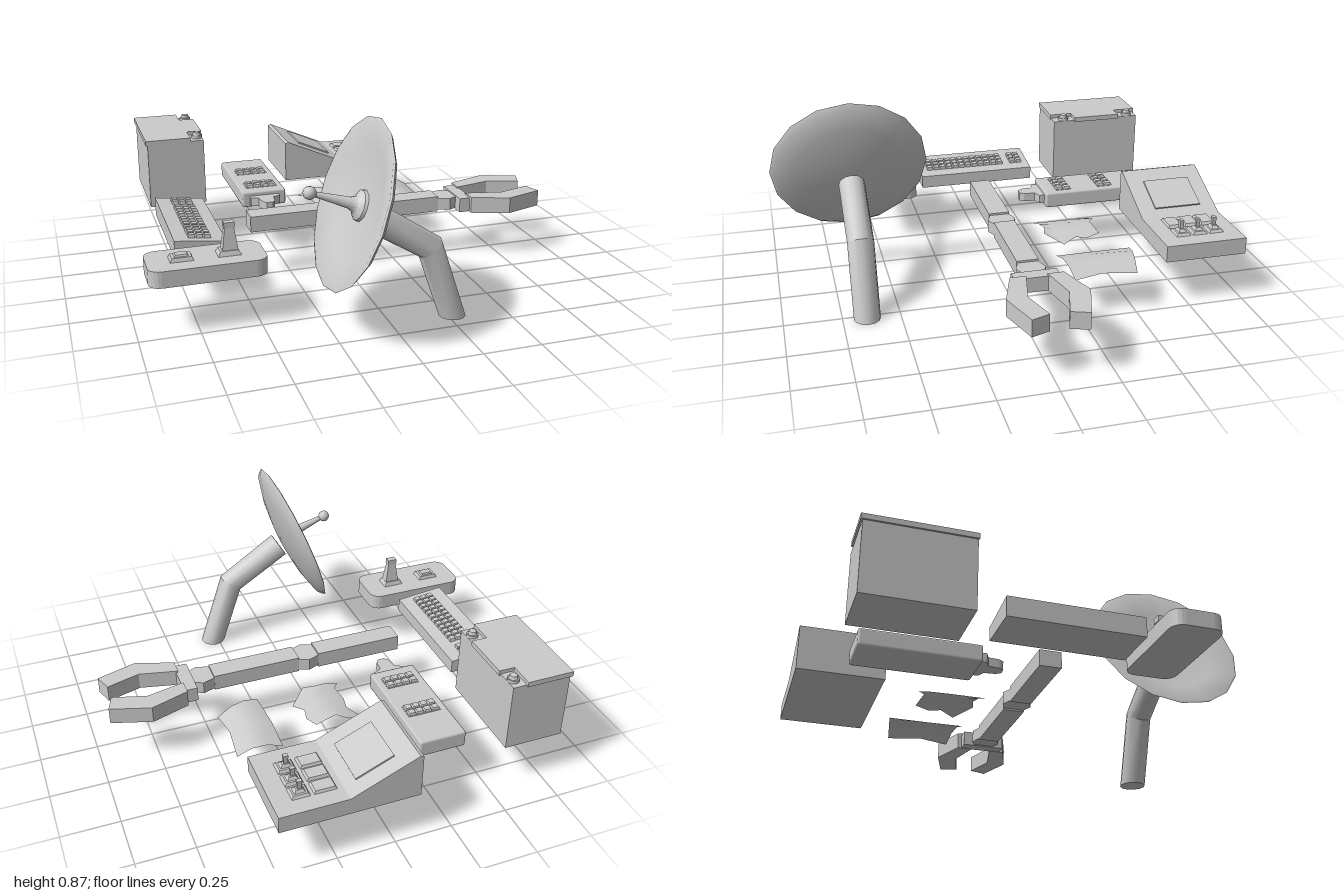
import * as THREE from 'three';
import { toCreasedNormals } from 'three/addons/utils/BufferGeometryUtils.js';
import { RoundedBoxGeometry } from 'three/addons/geometries/RoundedBoxGeometry.js';

const mat = new THREE.MeshStandardMaterial({ color: 0xcccccc });
const thin = new THREE.MeshStandardMaterial({ color: 0xcccccc, side: THREE.DoubleSide });

function add(parent, name, geo, x = 0, y = 0, z = 0, material = mat) {
  const m = new THREE.Mesh(geo, material);
  m.name = name;
  m.position.set(x, y, z);
  parent.add(m);
  return m;
}

function group(parent, name) {
  const g = new THREE.Group();
  g.name = name;
  parent.add(g);
  return g;
}

// Box given by its ranges along each axis
function box(parent, name, x0, x1, y0, y1, z0, z1) {
  return add(parent, name, new THREE.BoxGeometry(x1 - x0, y1 - y0, z1 - z0),
    (x0 + x1) / 2, (y0 + y1) / 2, (z0 + z1) / 2);
}

// Four-sided block tapering from a bottom size to a scaled top, standing on y
function taper(parent, name, w, d, h, top, x, y, z) {
  const geo = new THREE.CylinderGeometry(top * Math.SQRT1_2, Math.SQRT1_2, h, 4).toNonIndexed();
  geo.rotateY(Math.PI / 4).scale(w, 1, d).computeVertexNormals();
  return add(parent, name, geo, x, y + h / 2, z);
}

// Plan outline [x, z] raised from y0 to y1
function slab(parent, name, pts, y0, y1) {
  const shape = new THREE.Shape(pts.map(([x, z]) => new THREE.Vector2(x, -z)));
  const geo = new THREE.ExtrudeGeometry(shape, { depth: y1 - y0, bevelEnabled: false });
  return add(parent, name, geo.rotateX(-Math.PI / 2), 0, y0, 0);
}

// Side outline [x, y] running from z0 to z1
function prism(parent, name, pts, z0, z1) {
  const shape = new THREE.Shape(pts.map(p => new THREE.Vector2(...p)));
  return add(parent, name, new THREE.ExtrudeGeometry(shape, { depth: z1 - z0, bevelEnabled: false }), 0, 0, z0);
}

function keyGrid(parent, cols, rows, pitch, x, y, z, h) {
  for (let i = 0; i < cols; i++) for (let j = 0; j < rows; j++)
    taper(parent, 'key', pitch * 0.9, pitch * 0.9, h, 0.8,
      x + (i - (cols - 1) / 2) * pitch, y, z + (j - (rows - 1) / 2) * pitch);
}

function cabinet(root) {
  const g = group(root, 'cabinet');
  box(g, 'cabinetBody', -0.812, -0.548, 0.22, 0.528, -0.872, -0.433);
  slab(g, 'cabinetLid', [[-0.82, -0.88], [-0.61, -0.88], [-0.61, -0.77], [-0.54, -0.77],
    [-0.54, -0.54], [-0.61, -0.54], [-0.61, -0.43], [-0.82, -0.43]], 0.522, 0.545);
  for (const z of [-0.826, -0.486]) {
    add(g, 'boltWasher', new THREE.CylinderGeometry(0.026, 0.026, 0.014, 8), -0.572, 0.535, z);
    add(g, 'bolt', new THREE.CylinderGeometry(0.016, 0.02, 0.014, 8), -0.572, 0.549, z);
  }
}

function handset(root) {
  const g = group(root, 'handset');
  add(g, 'handsetBody', new RoundedBoxGeometry(0.21, 0.075, 0.51, 1, 0.01), -0.295, 0.2575, -0.545);
  for (const z of [-0.595, -0.385]) {
    box(g, 'keyBed', -0.367, -0.219, 0.29, 0.297, z - 0.037, z + 0.037);
    keyGrid(g, 4, 2, 0.036, -0.293, 0.296, z, 0.012);
  }
  slab(g, 'plug', [[-0.365, -0.295], [-0.365, -0.265], [-0.33, -0.25], [-0.325, -0.2], [-0.31, -0.18],
    [-0.28, -0.18], [-0.265, -0.2], [-0.26, -0.25], [-0.225, -0.265], [-0.225, -0.295]], 0.235, 0.275);
}

function console_(root) {
  const g = group(root, 'console');
  prism(g, 'consoleBody', [[-0.1, 0.22], [0.49, 0.22], [0.49, 0.295], [0.2, 0.295],
    [-0.085, 0.42], [-0.1, 0.415]], -1, -0.63);
  const screen = add(g, 'screen', new THREE.BoxGeometry(0.175, 0.014, 0.22), 0.07, 0.352, -0.82);
  screen.rotation.z = -Math.atan2(0.125, 0.285);
  for (const z of [-0.895, -0.818, -0.741]) {
    taper(g, 'pushButton', 0.095, 0.066, 0.012, 0.85, 0.272, 0.295, z);
    taper(g, 'leverBase', 0.076, 0.066, 0.012, 0.8, 0.372, 0.295, z);
    taper(g, 'leverCollar', 0.046, 0.036, 0.012, 0.6, 0.372, 0.307, z);
    taper(g, 'lever', 0.016, 0.014, 0.045, 1.3, 0.37, 0.312, z);
  }
}

function keypad(root) {
  const g = group(root, 'keypad');
  prism(g, 'keypadBody', [[-0.805, 0.22], [-0.585, 0.22], [-0.585, 0.28], [-0.805, 0.305]], -0.32, 0.245);
  const keys = group(g, 'keys');
  keys.position.set(-0.693, 0.291, 0);
  keys.rotation.z = -Math.atan2(0.025, 0.22);
  keyGrid(keys, 3, 2, 0.0325, 0, 0, -0.257, 0.016);
  keyGrid(keys, 3, 12, 0.0333, 0, 0, 0.01, 0.016);
}

function controlPad(root) {
  const g = group(root, 'joystickPad');
  const pts = [], r = 0.05;
  [[-0.515, 0.46], [-0.895, 0.46], [-0.895, 0.34], [-0.515, 0.34]].forEach(([x, z], i) => {
    for (let k = 0; k <= 5; k++) {
      const a = (i + k / 5) * Math.PI / 2;
      pts.push([x + r * Math.cos(a), z + r * Math.sin(a)]);
    }
  });
  slab(g, 'padBody', pts.reverse(), 0.22, 0.29);
  taper(g, 'rockerFrame', 0.095, 0.07, 0.016, 0.85, -0.803, 0.29, 0.4);
  taper(g, 'rocker', 0.06, 0.042, 0.01, 0.8, -0.803, 0.304, 0.4);
  taper(g, 'joystickBase', 0.095, 0.07, 0.02, 0.8, -0.61, 0.29, 0.4);
  taper(g, 'joystickStem', 0.066, 0.046, 0.1, 0.55, -0.606, 0.308, 0.4);
  taper(g, 'joystickGrip', 0.044, 0.03, 0.024, 1, -0.606, 0.402, 0.4);
}

function arm(root) {
  const g = group(root, 'gripperArm');
  g.position.z = -0.016;
  box(g, 'upperArm', -0.435, -0.035, 0.22, 0.292, -0.048, 0.048);
  box(g, 'forearm', 0.06, 0.46, 0.22, 0.292, -0.048, 0.048);
  const both = half => [...half, ...half.map(([x, z]) => [x, -z]).reverse()];
  slab(g, 'elbowJoint', both([[-0.035, 0.044], [0.015, 0.064], [0.065, 0.044]]), 0.227, 0.283);
  slab(g, 'wristJoint', both([[0.455, 0.044], [0.515, 0.064], [0.555, 0.044]]), 0.227, 0.283);
  box(g, 'wrist', 0.55, 0.61, 0.222, 0.288, -0.097, 0.097);
  const claw = [[0.6, 0.115], [0.77, 0.173], [0.945, 0.117], [0.918, 0.039], [0.77, 0.084], [0.6, 0.045]];
  for (const s of [1, -1]) slab(g, 'claw', claw.map(([x, z]) => [x, s * z]), 0.22, 0.295);
}

// Curved sheet: rows of four [x, z] points, arched across x
function sheet(root, name, rows, mid, top, bend, tilt) {
  const pos = [], idx = [];
  rows.forEach((row, j) => row.forEach(([x, z], i) => {
    pos.push(x, top - bend * (x - mid) ** 2 - tilt * (x - mid), z);
    if (i < 3 && j < rows.length - 1) {
      const a = j * 4 + i;
      idx.push(a, a + 4, a + 1, a + 1, a + 4, a + 5);
    }
  }));
  const geo = new THREE.BufferGeometry();
  geo.setAttribute('position', new THREE.Float32BufferAttribute(pos, 3));
  geo.setIndex(idx);
  geo.computeVertexNormals();
  add(root, name, geo, 0, 0, 0, thin);
}

function scraps(root) {
  sheet(root, 'tornPlate', [
    [[-0.09, -0.445], [-0.007, -0.465], [0.03, -0.435], [0.126, -0.45]],
    [[-0.04, -0.386], [0.02, -0.386], [0.083, -0.386], [0.147, -0.386]],
    [[-0.055, -0.317], [0.01, -0.322], [0.073, -0.328], [0.136, -0.333]],
    [[-0.044, -0.238], [0.02, -0.249], [0.083, -0.26], [0.168, -0.27]],
    [[-0.075, -0.19], [-0.017, -0.2], [0.04, -0.21], [0.094, -0.196]]], 0.04, 0.232, 2.2, 0);
  const rows = [[0.305, -0.53, 0.495, -0.497], [0.295, -0.36, 0.48, -0.344], [0.305, -0.19, 0.495, -0.217]]
    .map(([x0, z0, x1, z1]) => [0, 1, 2, 3].map(i => [x0 + (x1 - x0) * i / 3, z0 + (z1 - z0) * i / 3]));
  sheet(root, 'curvedPlate', rows, 0.39, 0.232, 3.2, 0.08);
}

function dish(root) {
  const lathe = (pts, n) => toCreasedNormals(
    new THREE.LatheGeometry(pts.map(p => new THREE.Vector2(...p)), n), 0.7);
  // Reflector and feed, lathe axis along the facing direction
  const g = group(root, 'dish');
  g.position.set(-0.167, 0.538, 0.645);
  g.rotation.z = Math.atan2(0.942, 0.335);
  add(g, 'reflector', lathe([[0, -0.066], [0.12, -0.06], [0.24, -0.043], [0.33, -0.018], [0.352, 0],
    [0.34, 0.004], [0.23, -0.022], [0.12, -0.038], [0, -0.044]], 16), 0, 0, 0, thin);
  add(g, 'feed', lathe([[0.066, -0.044], [0.062, -0.028], [0.034, -0.012], [0.024, 0.01], [0.011, 0.16], [0, 0.16]], 12), 0, 0, 0, thin);
  add(g, 'feedTip', new THREE.SphereGeometry(0.027, 12, 8), 0, 0.18, 0);

  // Bent mast with a mitred elbow: each ring has a centre and an in-plane radius vector
  const rings = [[0.272, 0, 0.0575, 0], [0.165, 0.315, 0.047, 0.036], [-0.095, 0.482, 0.032, 0.051]];
  const geo = new THREE.CylinderGeometry(1, 1, 2, 12, 2);
  const p = geo.attributes.position;
  for (let i = 0; i < p.count; i++) {
    const [cx, cy, ux, uy] = rings[Math.round(p.getY(i)) + 1];
    const u = p.getX(i);
    p.setXYZ(i, cx + u * ux, cy + u * uy, p.getZ(i) * 0.058);
  }
  add(root, 'mast', toCreasedNormals(geo, 0.6), 0, 0, 0.645);
}

export function createModel() {
  const root = new THREE.Group();
  root.name = 'equipmentSet';
  for (const build of [cabinet, handset, console_, keypad, controlPad, arm, scraps, dish]) build(root);
  return root;
}
